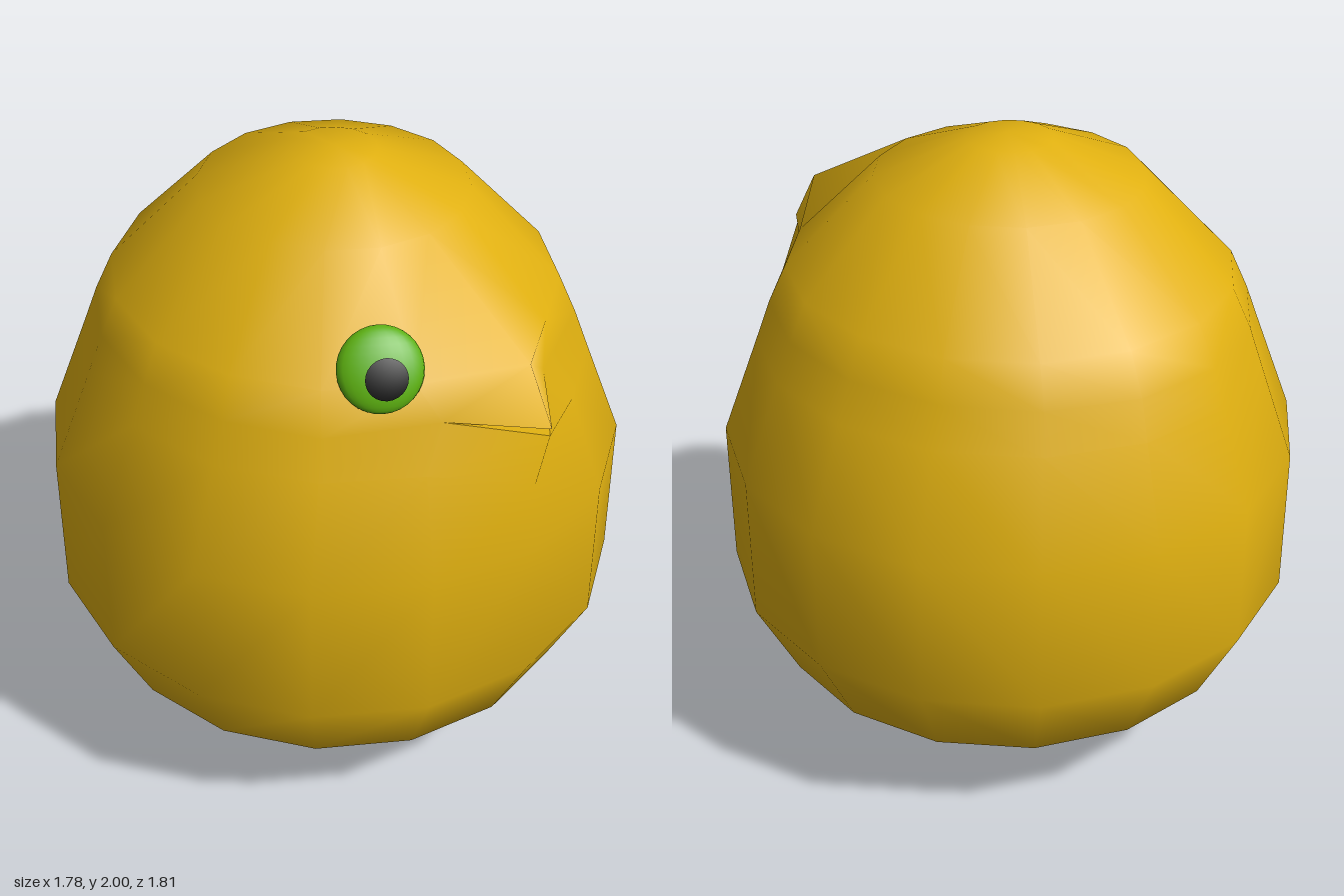
import * as THREE from 'three';
import { mergeVertices } from 'three/addons/utils/BufferGeometryUtils.js';

const SIDES = 16;
const yellow = new THREE.MeshStandardMaterial({ color: 0xe0b010 });
yellow.name = 'yellow';
const green = new THREE.MeshStandardMaterial({ color: 0x5cb010 });
green.name = 'green';
const black = new THREE.MeshStandardMaterial({ color: 0x111111 });
black.name = 'black';

// Rings from top to bottom: height, x radius, z radius, and the
// points pulled out of the front column (and its neighbours) for the beak
const CORNER = [0.2, 1.48, 0.68];
const UPPER_TIP = [0, 1.485, 0.905];
const LOWER_TIP = [0, 1.46, 0.9];
const rings = [
  { y: 2.0, rx: 0, rz: 0 },
  { y: 1.99, rx: 0.13, rz: 0.13 },
  { y: 1.88, rx: 0.4, rz: 0.41 },
  { y: 1.6, rx: 0.66, rz: 0.69, front: [0, 1.65, 0.81] },
  { y: 1.48, rx: 0.71, rz: 0.75, front: UPPER_TIP, beside: CORNER },
  { y: 1.48, rx: 0.71, rz: 0.75, front: LOWER_TIP, beside: CORNER },
  { y: 1.36, rx: 0.76, rz: 0.79, front: [0, 1.27, 0.86] },
  { y: 1.055, rx: 0.89, rz: 0.893 },
  { y: 0.59, rx: 0.89, rz: 0.893 },
  { y: 0.33, rx: 0.76, rz: 0.76 },
  { y: 0.13, rx: 0.505, rz: 0.505 },
  { y: 0.02, rx: 0.18, rz: 0.18 },
  { y: 0.005, rx: 0, rz: 0 },
];
const MOUTH_BAND = 4; // the open band between the two lips

function bodyGeometry() {
  const positions = [];
  const index = [];
  rings.forEach(({ y, rx, rz, front, beside }) => {
    for (let j = 0; j < SIDES; j++) {
      const a = (j / SIDES) * Math.PI * 2;
      if (j === 0 && front) positions.push(...front);
      else if (j === 1 && beside) positions.push(...beside);
      else if (j === SIDES - 1 && beside) positions.push(-beside[0], beside[1], beside[2]);
      else positions.push(rx * Math.sin(a), y, rz * Math.cos(a) - (rx ? 0.01 : 0));
    }
  });
  for (let i = 0; i < rings.length - 1; i++) {
    if (i === MOUTH_BAND) continue;
    for (let j = 0; j < SIDES; j++) {
      const k = (j + 1) % SIDES;
      const a = i * SIDES + j, b = i * SIDES + k;
      const c = a + SIDES, d = b + SIDES;
      // mirrored diagonals keep the beak symmetric
      if (j < SIDES / 2) index.push(a, c, d, a, d, b);
      else index.push(a, c, b, b, c, d);
    }
  }
  const geometry = new THREE.BufferGeometry();
  geometry.setAttribute('position', new THREE.Float32BufferAttribute(positions, 3));
  geometry.setIndex(index);
  const welded = mergeVertices(geometry, 1e-4);
  welded.computeVertexNormals();
  return welded;
}

// Flat inner face of one half of the beak
function lipGeometry(tip, faceUp) {
  const left = CORNER;
  const right = [-CORNER[0], CORNER[1], CORNER[2]];
  const corners = faceUp ? [right, tip, left] : [left, tip, right];
  const geometry = new THREE.BufferGeometry();
  geometry.setAttribute('position', new THREE.Float32BufferAttribute(corners.flat(), 3));
  geometry.computeVertexNormals();
  return geometry;
}

function add(parent, name, geometry, material) {
  const mesh = new THREE.Mesh(geometry, material);
  mesh.name = name;
  parent.add(mesh);
  return mesh;
}

export function createModel() {
  const model = new THREE.Group();
  model.name = 'chick';

  add(model, 'body', bodyGeometry(), yellow);
  add(model, 'upperBeakInside', lipGeometry(UPPER_TIP, false), yellow);
  add(model, 'lowerBeakInside', lipGeometry(LOWER_TIP, true), yellow);

  // Single eye on the right: a flattened dome with a pupil cap hugging it
  const eye = new THREE.Group();
  eye.name = 'rightEye';
  eye.position.set(-0.32, 1.645, 0.555);
  eye.lookAt(-0.32 - 0.48, 1.645 + 0.5, 0.555 + 0.72);
  const iris = new THREE.SphereGeometry(1, 24, 16).scale(0.122, 0.122, 0.045);
  add(eye, 'iris', iris, green);
  const pupil = new THREE.SphereGeometry(1, 24, 6, 0, Math.PI * 2, 0, 0.5)
    .rotateX(Math.PI / 2 + 0.24)
    .rotateY(0.1)
    .scale(0.126, 0.126, 0.049);
  add(eye, 'pupil', pupil, black);
  model.add(eye);

  return model;
}
